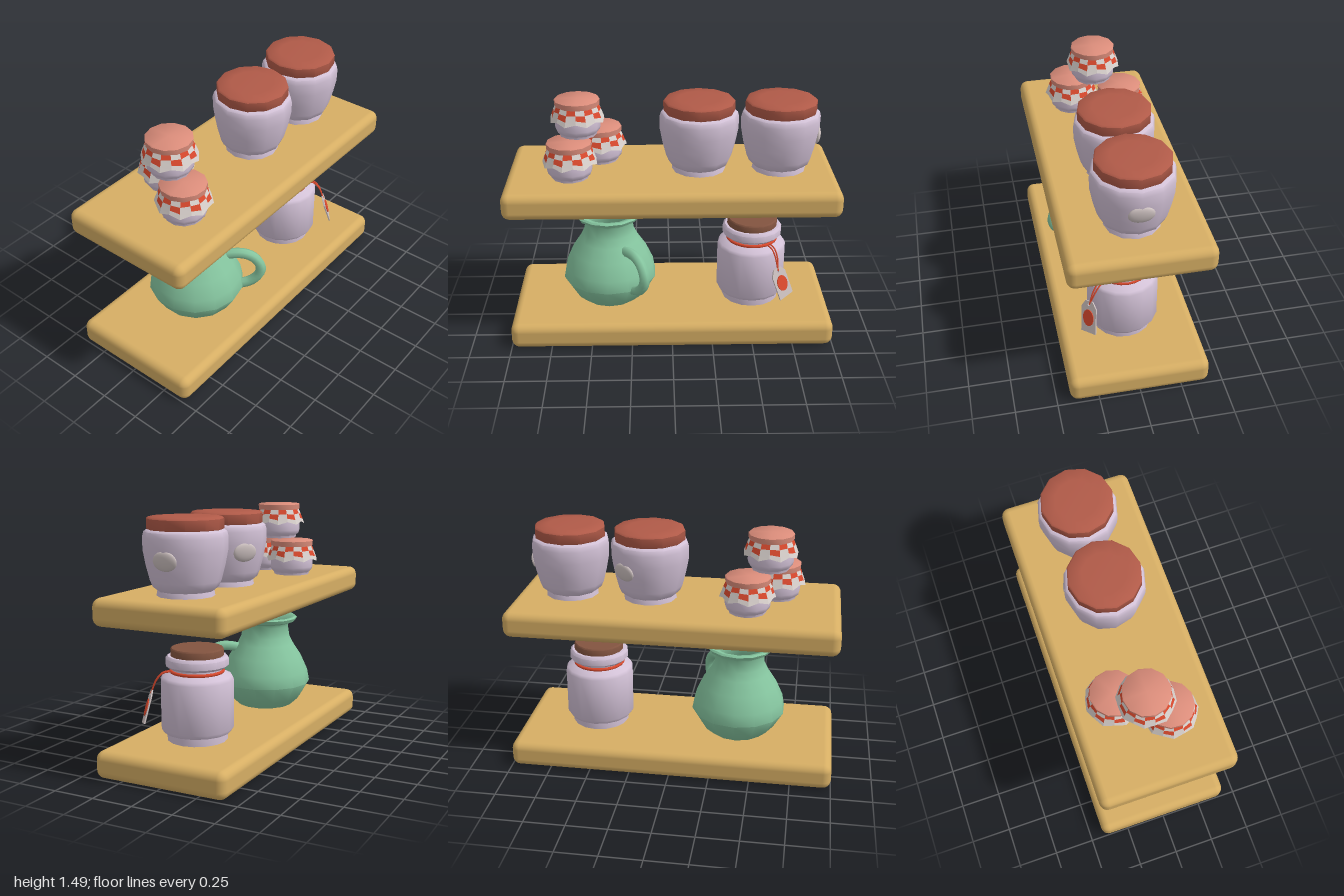
import * as THREE from 'three';
import { toCreasedNormals } from 'three/addons/utils/BufferGeometryUtils.js';
import { RoundedBoxGeometry } from 'three/addons/geometries/RoundedBoxGeometry.js';

const mat = (name, color, side = THREE.FrontSide) => {
  const m = new THREE.MeshStandardMaterial({ color, side });
  m.name = name;
  return m;
};

export function createModel() {
  const wood = mat('golden wood', 0xd6ae64);
  const ceramic = mat('lilac ceramic', 0xd2c1d6);
  const green = mat('green glaze', 0x86c6a0);
  const brick = mat('brick red lid', 0xb05a48);
  const pink = mat('pink lid', 0xda8c7a);
  const brown = mat('brown cork', 0x835440);
  const red = mat('red', 0xdc4a2e, THREE.DoubleSide);
  const white = mat('white cloth', 0xdad2ce, THREE.DoubleSide);
  const paper = mat('paper label', 0xccc0bf);

  const model = new THREE.Group();
  model.name = 'jarShelves';

  const add = (parent, name, geo, material, x = 0, y = 0, z = 0) => {
    const m = new THREE.Mesh(geo, material);
    m.name = name;
    m.position.set(x, y, z);
    parent.add(m);
    return m;
  };
  const group = (name, x, y, z) => {
    const g = new THREE.Group();
    g.name = name;
    g.position.set(x, y, z);
    model.add(g);
    return g;
  };
  // Turned shape from [radius, height] pairs, running bottom to top
  const turned = (pts, sides = 12) => toCreasedNormals(
    new THREE.LatheGeometry(pts.map(p => new THREE.Vector2(...p)), sides), 0.75);

  // Shelves
  for (const [name, y] of [['lowerShelf', 0.0825], ['upperShelf', 0.963]])
    add(model, name, new RoundedBoxGeometry(2, 0.163, 0.84, 3, 0.05), wood, 0, y, 0);

  // Pitcher, hollow, with a handle towards the front right
  const pitcher = group('pitcher', -0.395, 0.165, 0.005);
  add(pitcher, 'pitcherBody', turned([
    [0, 0], [0.18, 0], [0.235, 0.05], [0.296, 0.155], [0.282, 0.23], [0.237, 0.33],
    [0.185, 0.41], [0.16, 0.46], [0.15, 0.53], [0.16, 0.55], [0.2, 0.565], [0.21, 0.585], [0.2, 0.595],
    [0.165, 0.585], [0.128, 0.53], [0.135, 0.46], [0.2, 0.33], [0.25, 0.16], [0.16, 0.03], [0, 0.03],
  ], 14), green);
  const handlePath = new THREE.CatmullRomCurve3([
    [0.16, 0.375], [0.23, 0.392], [0.3, 0.393], [0.36, 0.365], [0.4, 0.3], [0.395, 0.24], [0.34, 0.175], [0.25, 0.14],
  ].map(([r, y]) => new THREE.Vector3(0, y, r)));
  const handle = add(pitcher, 'pitcherHandle', new THREE.TubeGeometry(handlePath, 20, 0.032, 8), green);
  handle.rotation.y = 0.595;

  // Corked jar with a string and tag
  const corked = group('corkedJar', 0.51, 0.165, 0.016);
  add(corked, 'corkedJarBody', turned([
    [0, 0], [0.18, 0], [0.18, 0.045], [0.2, 0.05], [0.216, 0.075], [0.216, 0.365], [0.205, 0.385],
    [0.165, 0.4], [0.15, 0.41], [0.15, 0.43], [0.172, 0.436], [0.186, 0.45], [0.186, 0.49], [0.172, 0.505], [0, 0.505],
  ], 16), ceramic);
  add(corked, 'cork', turned([[0, 0], [0.157, 0], [0.157, 0.038], [0.15, 0.046], [0, 0.046]], 16), brown, 0, 0.505, 0);
  const ring = add(corked, 'neckString', new THREE.TorusGeometry(0.154, 0.01, 6, 24), red, 0, 0.413, 0);
  ring.rotation.x = Math.PI / 2;
  const tie = new THREE.Group();
  tie.name = 'tagAndCord';
  tie.rotation.y = 0.63;
  corked.add(tie);
  for (const s of [-1, 1]) {
    const cord = new THREE.CatmullRomCurve3([
      new THREE.Vector3(s * 0.012, 0.413, 0.155), new THREE.Vector3(s * 0.01, 0.405, 0.2),
      new THREE.Vector3(s * 0.008 - 0.004, 0.365, 0.238), new THREE.Vector3(-0.014, 0.28, 0.272),
    ]);
    add(tie, 'cord', new THREE.TubeGeometry(cord, 10, 0.005, 5), red);
  }
  const tag = new THREE.Group();
  tag.name = 'tag';
  tag.position.set(0, 0.205, 0.292);
  tag.rotation.set(-0.29, 0, 0.22, 'YXZ');
  tie.add(tag);
  const tagShape = new THREE.Shape([[-0.056, -0.1], [0.056, -0.1], [0.056, 0.06], [0.028, 0.1], [-0.028, 0.1], [-0.056, 0.06]]
    .map(p => new THREE.Vector2(...p)));
  tagShape.holes.push(new THREE.Path().absarc(0, 0.078, 0.009, 0, Math.PI * 2, true));
  add(tag, 'tagCard', new THREE.ExtrudeGeometry(tagShape, { depth: 0.008, bevelEnabled: false, curveSegments: 6 }), paper, 0, 0, -0.004);
  const seal = add(tag, 'tagSeal', new THREE.CylinderGeometry(1, 1, 0.006, 16), red, 0, -0.005, 0.006);
  seal.rotation.x = Math.PI / 2;
  seal.scale.set(0.04, 1, 0.052);

  // Large lidded jars, each with an oval label facing its own way
  const bigBody = turned([
    [0, 0], [0.165, 0], [0.16, 0.03], [0.185, 0.05], [0.2, 0.085], [0.222, 0.17], [0.238, 0.255],
    [0.24, 0.33], [0.232, 0.36], [0.215, 0.372], [0, 0.372],
  ]);
  const bigLid = turned([[0, 0], [0.208, 0], [0.216, 0.01], [0.216, 0.066], [0.206, 0.076], [0.13, 0.081], [0, 0.083]]);
  for (const [x, turn] of [[0.168, 2.55], [0.66, Math.PI / 2]]) {
    const jar = group('largeJar', x, 1.044, -0.002);
    add(jar, 'largeJarBody', bigBody, ceramic);
    add(jar, 'largeJarLid', bigLid, brick, 0, 0.365, 0);
    const pivot = new THREE.Group();
    pivot.name = 'labelMount';
    pivot.rotation.y = turn;
    jar.add(pivot);
    const label = add(pivot, 'ovalLabel', new THREE.SphereGeometry(1, 20, 12), paper, 0, 0.212, 0.222);
    label.scale.set(0.075, 0.056, 0.02);
    label.rotation.x = 0.15;
  }

  // Small jam jars with a checked cloth under the lid
  const smallBody = turned([
    [0, 0], [0.113, 0], [0.115, 0.015], [0.132, 0.03], [0.137, 0.05], [0.137, 0.13], [0.12, 0.16], [0.12, 0.19], [0, 0.19],
  ]);
  const smallLid = turned([[0, 0], [0.135, 0], [0.137, 0.032], [0.13, 0.038], [0, 0.039]]);
  const cloth = clothGeometry(16);
  for (const [x, y, z, turn] of [[-0.61, 1.044, 0.12, 0.2], [-0.443, 1.044, -0.16, 0.5], [-0.563, 1.268, -0.012, 0]]) {
    const jar = group('jamJar', x, y, z);
    jar.rotation.y = turn;
    add(jar, 'jamJarBody', smallBody, ceramic);
    add(jar, 'jamJarLid', smallLid, pink, 0, 0.186, 0);
    add(jar, 'checkedCloth', cloth, [white, red]);
  }
  return model;
}

// Flared wavy skirt; cells alternate between two material groups above a plain hem
function clothGeometry(cols) {
  const rows = [[0.13, 0.188, 0], [0.143, 0.158, 0.2], [0.155, 0.126, 0.6], [0.165, 0.1, 1]];
  const point = (r, c) => {
    const [radius, y, wave] = rows[r];
    const a = c / cols * Math.PI * 2;
    const w = wave * (c % 2 ? 1 : -1);
    const rr = radius + 0.004 * w;
    return [Math.sin(a) * rr, y - 0.009 * w, Math.cos(a) * rr];
  };
  const cells = [[], []];
  for (let r = 0; r < 3; r++)
    for (let c = 0; c < cols; c++) {
      const a = point(r, c), b = point(r + 1, c), d = point(r, c + 1), e = point(r + 1, c + 1);
      cells[r < 2 && (r + c) % 2 ? 1 : 0].push(...a, ...b, ...e, ...a, ...e, ...d);
    }
  const g = new THREE.BufferGeometry();
  g.setAttribute('position', new THREE.Float32BufferAttribute(cells.flat(), 3));
  g.addGroup(0, cells[0].length / 3, 0);
  g.addGroup(cells[0].length / 3, cells[1].length / 3, 1);
  g.computeVertexNormals();
  return g;
}
